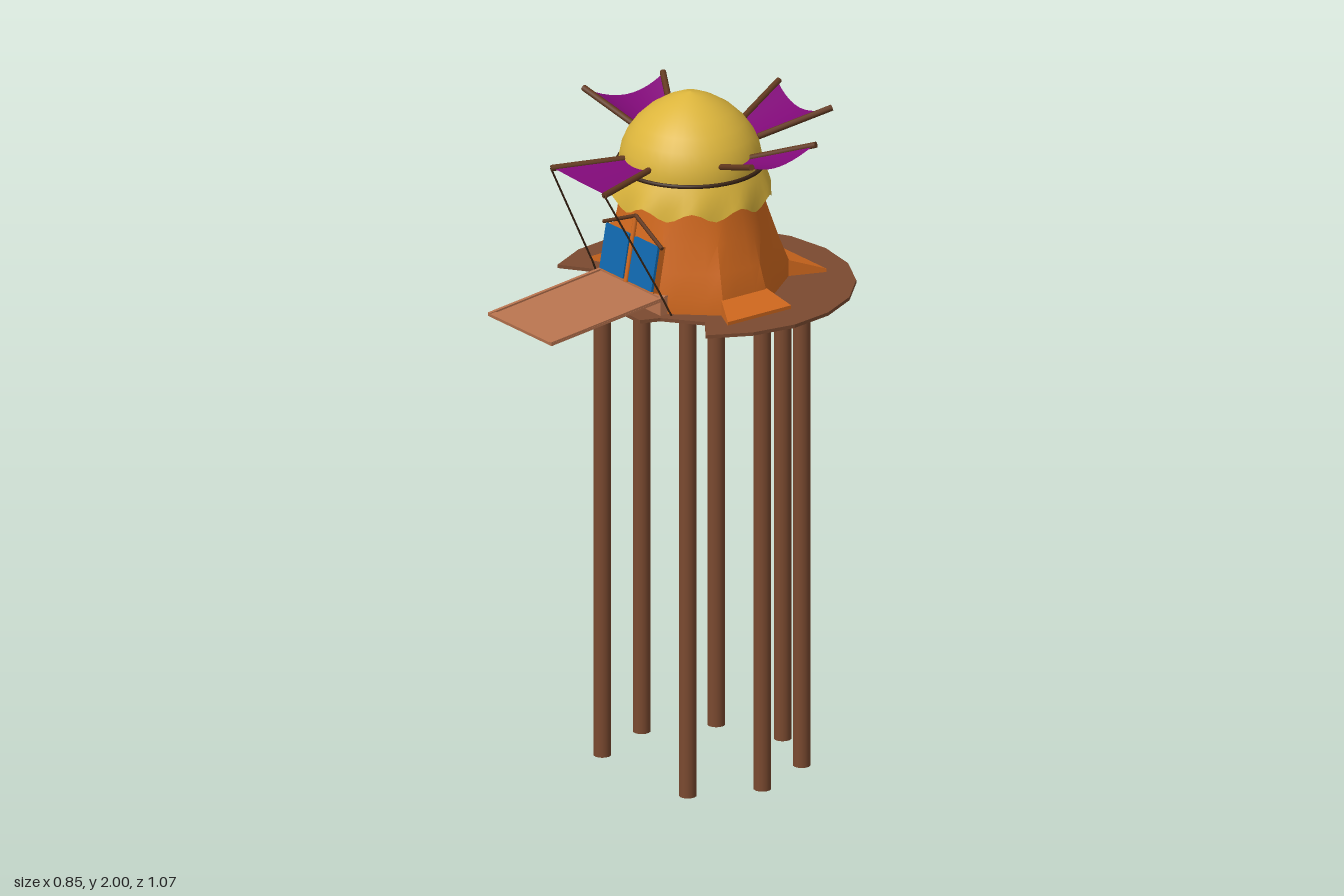
import * as THREE from 'three';
import { toCreasedNormals } from 'three/addons/utils/BufferGeometryUtils.js';
import { ParametricGeometry } from 'three/addons/geometries/ParametricGeometry.js';

const mat = (name, color, side = THREE.FrontSide) =>
  Object.assign(new THREE.MeshStandardMaterial({ color, side }), { name });
const V = (x, y, z) => new THREE.Vector3(x, y, z);
const CZ = -0.07; // tower axis
const PZ = -0.115; // platform axis

export function createModel() {
  const wood = mat('brown wood', 0x7b4a30);
  const rampWood = mat('light wood', 0xb8734e);
  const poleWood = mat('pole wood', 0x63391f);
  const dark = mat('dark cord', 0x3a2414);
  const orange = mat('orange wall', 0xd2691e, THREE.DoubleSide);
  const yellow = mat('yellow roof', 0xdcb53c, THREE.DoubleSide);
  const purple = mat('purple cloth', 0x800a78, THREE.DoubleSide);
  const blue = mat('blue door', 0x1068ae);

  const model = new THREE.Group();
  model.name = 'stiltHut';
  const add = (name, geo, material, parent = model) => {
    const m = new THREE.Mesh(geo, material);
    m.name = name;
    parent.add(m);
    return m;
  };
  // Round bar between two points
  const bar = (name, a, b, r, material, sides = 10, parent = model) => {
    const m = add(name, new THREE.CylinderGeometry(r, r, a.distanceTo(b), sides), material, parent);
    m.position.copy(a).lerp(b, 0.5);
    m.quaternion.setFromUnitVectors(V(0, 1, 0), b.clone().sub(a).normalize());
    return m;
  };
  // Skin over closed rings listed from bottom to top
  const loft = (rings) => {
    const n = rings[0].length, idx = [];
    for (let j = 0; j < rings.length - 1; j++)
      for (let i = 0; i < n; i++) {
        const a = j * n + i, b = j * n + (i + 1) % n;
        idx.push(a, b, b + n, a, b + n, a + n);
      }
    const g = new THREE.BufferGeometry().setFromPoints(rings.flat());
    g.setIndex(idx);
    g.computeVertexNormals();
    return g;
  };

  // Stilts: eight places on a circle, the front one left free for the ramp
  for (let k = 1; k < 8; k++) {
    const a = k * Math.PI / 4, x = Math.sin(a) * 0.28, z = -0.11 + Math.cos(a) * 0.28;
    bar('stilt', V(x, 0, z), V(x, 1.42, z), 0.025, wood, 14);
  }

  // Platform: twenty-sided disc with notches beside the ramp
  const outline = [];
  for (let k = -7; k <= 7; k++) {
    const a = k * Math.PI / 10;
    outline.push(new THREE.Vector2(Math.sin(a) * 0.425, PZ - Math.cos(a) * 0.425));
  }
  for (const [x, z] of [[0.26, 0.075], [0.16, 0.155], [0.14, 0.21], [-0.14, 0.21], [-0.16, 0.155], [-0.26, 0.075]])
    outline.push(new THREE.Vector2(x, z));
  const deck = new THREE.ExtrudeGeometry(new THREE.Shape(outline), { depth: 0.01, bevelEnabled: false });
  add('platform', deck.rotateX(Math.PI / 2), wood).position.y = 1.425;

  // Walls: eight-cornered base blending into a round top
  const corners = [[-0.13, 0.21], [0.13, 0.21], [0.25, 0.075], [0.25, -0.075],
    [0.11, -0.26], [-0.11, -0.26], [-0.25, -0.075], [-0.25, 0.075]];
  const base = corners.flatMap(([x, z], i) => {
    const [x2, z2] = corners[(i + 1) % 8];
    return [0, 1, 2, 3].map((k) => V(x + (x2 - x) * k / 4, 0, z + (z2 - z) * k / 4));
  });
  const walls = loft([[1.42, 0], [1.47, 0], [1.54, 0.3], [1.62, 0.6], [1.69, 0.85], [1.75, 1]].map(([y, t]) =>
    base.map((p) => p.clone().lerp(p.clone().setLength(0.19), t).setY(y))));
  add('walls', toCreasedNormals(walls, 0.5), orange).position.z = CZ;

  // Flared feet at the back and both sides
  const foot = (turn, w0, d0, w1, d1) => {
    const g = new THREE.BoxGeometry(1, 1, 1), p = g.attributes.position;
    for (let i = 0; i < p.count; i++) {
      const out = p.getZ(i) > 0, top = p.getY(i) > 0;
      p.setXYZ(i, Math.sign(p.getX(i)) * (out ? w1 : w0), top ? (out ? 1.435 : 1.475) : 1.42, out ? d1 : d0);
    }
    g.computeVertexNormals();
    const m = add('wallFoot', g, orange);
    m.rotation.y = turn;
    m.position.z = CZ;
  };
  foot(Math.PI, 0.11, 0.25, 0.15, 0.36);
  foot(Math.PI / 2, 0.075, 0.24, 0.11, 0.32);
  foot(-Math.PI / 2, 0.075, 0.24, 0.11, 0.32);

  // Scalloped skirt of the roof
  const N = 60;
  const ring = (r, y, wave = 0) => Array.from({ length: N }, (_, i) => {
    const a = i / N * Math.PI * 2, c = Math.cos(a * 10);
    return V(Math.sin(a) * (r + wave * 0.3 * c), y + wave * c, Math.cos(a) * (r + wave * 0.3 * c));
  });
  const skirt = loft([ring(0.185, 1.735), ring(0.228, 1.705, -0.015), ring(0.222, 1.735, -0.006),
    ring(0.21, 1.77), ring(0.198, 1.795)]);
  add('roofSkirt', toCreasedNormals(skirt, 0.9), yellow).position.z = CZ;

  // Dome and its band
  const dome = [[0.198, 1.78], [0.2, 1.81], [0.193, 1.845], [0.178, 1.88], [0.153, 1.915],
    [0.118, 1.948], [0.075, 1.975], [0.035, 1.993], [0, 2]].map(([r, y]) => new THREE.Vector2(r, y));
  add('dome', new THREE.LatheGeometry(dome, 40), yellow).position.z = CZ;
  const band = add('domeBand', new THREE.TorusGeometry(0.204, 0.006, 8, 48), dark);
  band.rotation.x = Math.PI / 2;
  band.position.set(0, 1.792, CZ);

  // Four cloth awnings, each stretched between two poles and sagging in the middle
  const awning = (name, a0, a1, b0, b1, sag) => {
    const g = new THREE.Group();
    g.name = name;
    model.add(g);
    bar('awningPole', a0, a1, 0.009, poleWood, 8, g);
    bar('awningPole', b0, b1, 0.009, poleWood, 8, g);
    const cloth = (u, v, target) => {
      const bow = 4 * u * (1 - u);
      const reach = v * (0.97 - 0.07 * bow);
      target.copy(a0).lerp(a1, reach).lerp(b0.clone().lerp(b1, reach), u);
      target.y -= sag * bow * (0.4 + 0.6 * v);
    };
    add('awningCloth', new ParametricGeometry(cloth, 10, 6), purple, g);
  };
  awning('backAwning', V(-0.045, 1.84, -0.26), V(-0.11, 1.91, -0.46), V(0.06, 1.84, -0.26), V(0.15, 1.91, -0.45), 0.03);
  awning('frontAwning', V(-0.055, 1.825, 0.11), V(-0.14, 1.815, 0.31), V(0.055, 1.825, 0.11), V(0.12, 1.815, 0.32), 0.012);
  for (const s of [-1, 1])
    awning(s > 0 ? 'leftAwning' : 'rightAwning', V(s * 0.18, 1.84, -0.145), V(s * 0.355, 1.91, -0.24),
      V(s * 0.19, 1.84, -0.035), V(s * 0.39, 1.91, 0.01), 0.03);

  // Ropes from the front awning down to the deck
  for (const [x, z, s] of [[-0.14, 0.31, -1], [0.12, 0.32, 1]]) {
    bar('rope', V(x, 1.815, z), V(s * 0.155, 1.5, 0.155), 0.003, dark, 5);
    bar('rope', V(s * 0.155, 1.5, 0.155), V(s * 0.165, 1.425, 0.12), 0.003, dark, 5);
  }

  // Ramp with a thin raised rim
  const ramp = new THREE.Group();
  ramp.name = 'ramp';
  ramp.position.set(0.007, 1.451, 0.33);
  ramp.rotation.x = 0.115;
  model.add(ramp);
  add('rampBoard', new THREE.BoxGeometry(0.295, 0.006, 0.4), rampWood, ramp);
  for (const s of [-1, 1])
    add('rampRim', new THREE.BoxGeometry(0.01, 0.008, 0.4), rampWood, ramp).position.set(s * 0.142, 0.004, 0);
  add('rampEdge', new THREE.BoxGeometry(0.295, 0.008, 0.02), rampWood, ramp).position.set(0, 0.002, 0.19);
  add('doorStep', new THREE.BoxGeometry(0.28, 0.06, 0.03), rampWood).position.set(0.007, 1.45, 0.13);

  // Double door leaning against the wall, under a small gable
  const door = new THREE.Group();
  door.name = 'door';
  door.position.set(0.013, 1.49, 0.16);
  door.rotation.x = -0.18;
  model.add(door);
  const gable = new THREE.Shape([[-0.12, 0], [0.12, 0], [0.12, 0.135], [0, 0.185], [-0.12, 0.135]]
    .map(([x, y]) => new THREE.Vector2(x, y)));
  add('doorPanel', new THREE.ExtrudeGeometry(gable, { depth: 0.02, bevelEnabled: false }), orange, door).position.z = -0.02;
  for (const s of [-1, 1]) {
    add('doorLeaf', new THREE.BoxGeometry(0.108, 0.13, 0.008), blue, door).position.set(s * 0.066, 0.07, 0.004);
    bar('gableBeam', V(s * 0.135, 0.135, 0.004), V(0, 0.192, 0.004), 0.006, poleWood, 6, door);
  }
  bar('doorPost', V(0, 0, 0.004), V(0, 0.185, 0.004), 0.007, orange, 8, door);

  return model;
}
